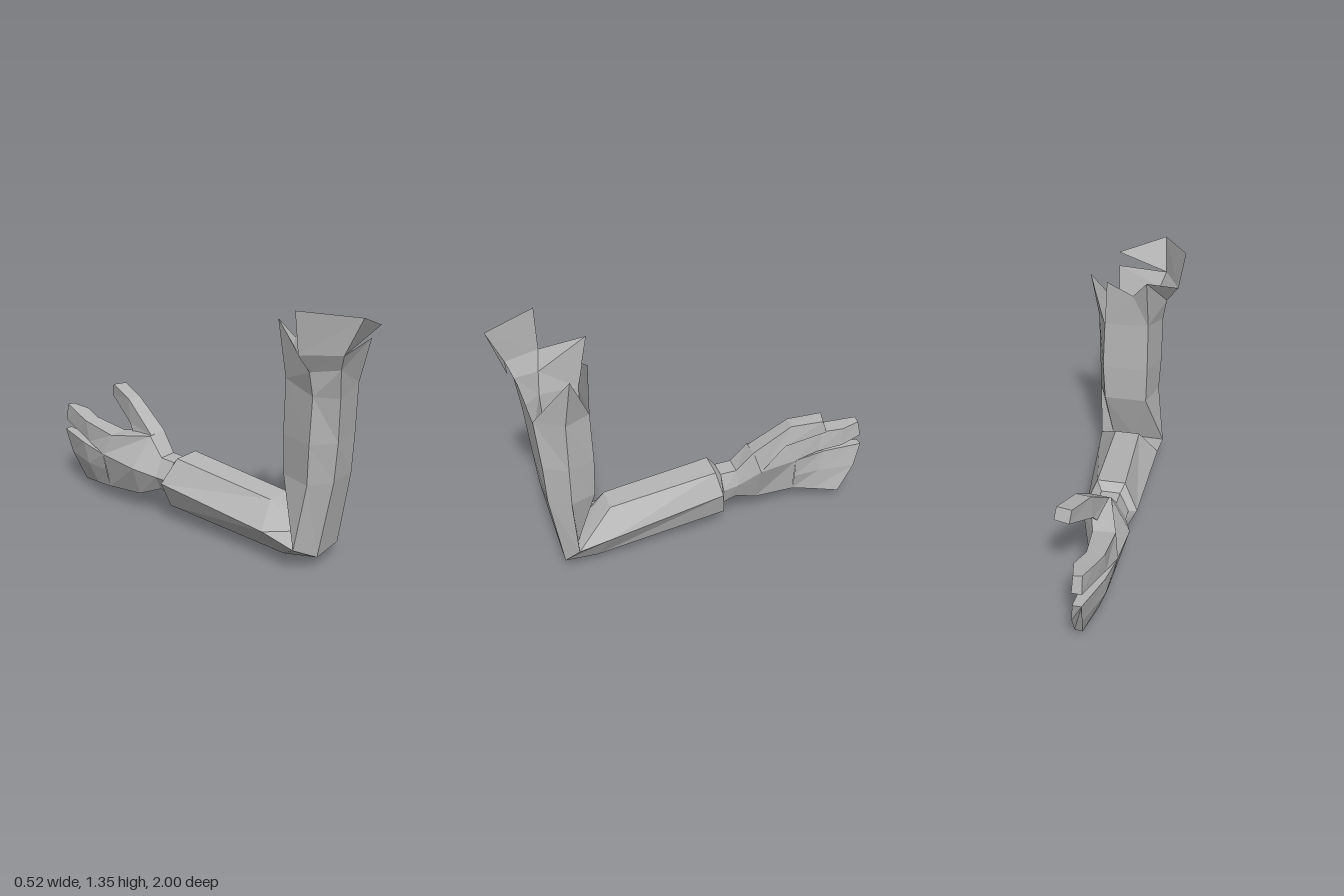
import * as THREE from 'three';

// triangles (lists of [x, y, z] corners) to a mesh
function meshOf(name, tris, material) {
  const g = new THREE.BufferGeometry();
  g.setAttribute('position', new THREE.Float32BufferAttribute(tris.flat(2), 3));
  g.computeVertexNormals();
  const mesh = new THREE.Mesh(g, material);
  mesh.name = name;
  return mesh;
}

// faceted skin through closed rings, with optional end cap
function skin(rings, cap = true) {
  const tris = [];
  const n = rings[0].length;
  for (let i = 0; i < rings.length - 1; i++) {
    for (let k = 0; k < n; k++) {
      const a = rings[i][k], b = rings[i][(k + 1) % n];
      const c = rings[i + 1][(k + 1) % n], d = rings[i + 1][k];
      tris.push([a, b, d], [b, c, d]);
    }
  }
  const end = rings[rings.length - 1];
  if (cap) for (let k = 1; k < n - 1; k++) tris.push([end[0], end[k], end[k + 1]]);
  return tris;
}

// six-point ring with an extra point halfway along its underside
function withKeel(ring) {
  const keel = ring[3].map((v, i) => (v + ring[4][i]) / 2);
  return [...ring.slice(0, 4), keel, ...ring.slice(4)];
}

export function createModel() {
  const group = new THREE.Group();
  group.name = 'bentArm';
  const grey = new THREE.MeshStandardMaterial({ color: 0xb6b6b6, flatShading: true, side: THREE.DoubleSide });
  grey.name = 'grey';
  const add = (name, tris) => group.add(meshOf(name, tris, grey));

  // elbow ring shared by both halves: front left, front right, right, back right, back left, left
  const elbow = [[-0.03, 0.065, 0.76], [0.155, 0.08, 0.76], [0.205, 0.16, 0.69],
    [0.13, 0.17, 0.68], [0, 0.17, 0.67], [-0.17, 0.14, 0.71]];
  const torn = [[-0.06, 0.92, 0.87], [0.13, 0.95, 0.85], [0.22, 0.95, 0.71],
    [0.16, 0.96, 0.58], [-0.085, 0.97, 0.58], [-0.14, 0.93, 0.77]];
  add('upperArm', skin([
    elbow,
    [[-0.02, 0.48, 0.83], [0.155, 0.48, 0.82], [0.21, 0.48, 0.71], [0.16, 0.48, 0.58], [-0.08, 0.48, 0.58], [-0.13, 0.48, 0.75]],
    [[-0.03, 0.69, 0.85], [0.155, 0.69, 0.83], [0.215, 0.69, 0.71], [0.17, 0.69, 0.575], [-0.085, 0.69, 0.575], [-0.14, 0.69, 0.76]],
    torn,
  ], false));

  // ragged open end
  const [fl, fr, r, br, bl, l] = torn;
  const fl1 = [-0.1, 1.07, 0.89], fl2 = [-0.13, 1.15, 0.92], fr2 = [0.14, 1.175, 0.9];
  const l1 = [-0.16, 1.05, 0.76], l2 = [-0.225, 1.14, 0.74];
  const flapBack = [-0.26, 1.35, 0.74], flapFront = [-0.11, 1.33, 1], flapTip = [0.15, 1.24, 0.94];
  const spike = [0.26, 1.21, 0.68], notch = [0, 1.15, 0.57];
  const backTip = [-0.08, 1.25, 0.525], cornerTip = [0.145, 1.22, 0.57];
  add('tornFront', [[fl, fr, fl1], [fl1, fr, fr2], [fl1, fr2, fl2]]);
  add('tornSide', [[l, fl, fl1], [l, fl1, l1], [l1, fl1, fl2], [l1, fl2, l2]]);
  add('tornFlap', [[l2, fl2, flapFront], [l2, flapFront, flapBack], [fl2, flapTip, flapFront]]);
  add('tornSpike', [[fr, r, spike], [r, br, spike]]);
  add('tornBack', [[br, bl, notch], [br, notch, cornerTip], [notch, bl, backTip],
    [bl, l, l1], [bl, l1, backTip], [l1, l2, backTip]]);

  // forearm rings: top left, top right, right, bottom right, (keel), bottom left, left
  const wristStart = [[-0.07, 0.345, -0.14], [0.03, 0.345, -0.14], [0.06, 0.25, -0.15],
    [0.03, 0.15, -0.16], [-0.08, 0.15, -0.16], [-0.12, 0.25, -0.16]];
  add('forearm', skin([
    withKeel([elbow[4], elbow[3], elbow[2], elbow[1], elbow[0], elbow[5]]),
    [[-0.06, 0.31, 0.49], [0.08, 0.31, 0.49], [0.185, 0.18, 0.52], [0.12, 0.045, 0.58],
      [0.05, 0.002, 0.63], [-0.06, 0.04, 0.58], [-0.167, 0.18, 0.52]],
    withKeel([[-0.09, 0.385, -0.1], [0.06, 0.385, -0.1], [0.11, 0.26, -0.13], [0.07, 0.12, -0.15], [-0.1, 0.105, -0.14], [-0.165, 0.25, -0.15]]),
    withKeel(wristStart),
  ], false));

  // wrist flowing into the palm
  add('palm', skin([
    wristStart,
    [[-0.07, 0.35, -0.23], [0.03, 0.35, -0.23], [0.05, 0.26, -0.24], [0.02, 0.17, -0.24], [-0.08, 0.17, -0.23], [-0.12, 0.25, -0.23]],
    [[-0.06, 0.45, -0.32], [0.05, 0.46, -0.32], [0.075, 0.34, -0.36], [0, 0.12, -0.36], [-0.1, 0.11, -0.37], [-0.165, 0.28, -0.36]],
    [[-0.13, 0.42, -0.55], [-0.015, 0.42, -0.56], [-0.005, 0.31, -0.6], [-0.03, 0.1, -0.6], [-0.1, 0.09, -0.6], [-0.15, 0.3, -0.6]],
  ]));

  // digits
  add('thumb', skin([
    [[-0.05, 0.45, -0.32], [0.05, 0.46, -0.32], [0.07, 0.345, -0.37], [-0.04, 0.38, -0.45]],
    [[-0.005, 0.605, -0.53], [0.075, 0.605, -0.52], [0.085, 0.49, -0.49], [-0.01, 0.47, -0.52]],
    [[0.05, 0.645, -0.7], [0.13, 0.64, -0.68], [0.14, 0.575, -0.7], [0.06, 0.575, -0.72]],
  ]));
  add('indexFinger', skin([
    [[-0.13, 0.42, -0.55], [-0.015, 0.42, -0.56], [-0.005, 0.31, -0.6], [-0.15, 0.3, -0.6]],
    [[-0.12, 0.455, -0.76], [-0.03, 0.455, -0.76], [-0.02, 0.335, -0.74], [-0.12, 0.335, -0.74]],
    [[-0.09, 0.475, -0.87], [0.005, 0.475, -0.87], [0.01, 0.37, -0.87], [-0.09, 0.37, -0.87]],
    [[-0.06, 0.495, -0.97], [-0.015, 0.49, -0.97], [-0.01, 0.4, -0.99], [-0.06, 0.4, -0.99]],
  ]));
  add('joinedFingers', skin([
    [[-0.15, 0.3, -0.6], [-0.005, 0.31, -0.6], [-0.01, 0.2, -0.6], [-0.03, 0.1, -0.6], [-0.1, 0.09, -0.6], [-0.13, 0.2, -0.6]],
    [[-0.125, 0.32, -0.78], [-0.03, 0.32, -0.78], [-0.02, 0.2, -0.75], [-0.02, 0.075, -0.72], [-0.08, 0.075, -0.72], [-0.12, 0.2, -0.75]],
    [[-0.06, 0.335, -1], [-0.015, 0.335, -1], [0, 0.2, -0.96], [0.01, 0.05, -0.87], [-0.03, 0.045, -0.87], [-0.05, 0.2, -0.96]],
  ]));
  return group;
}
